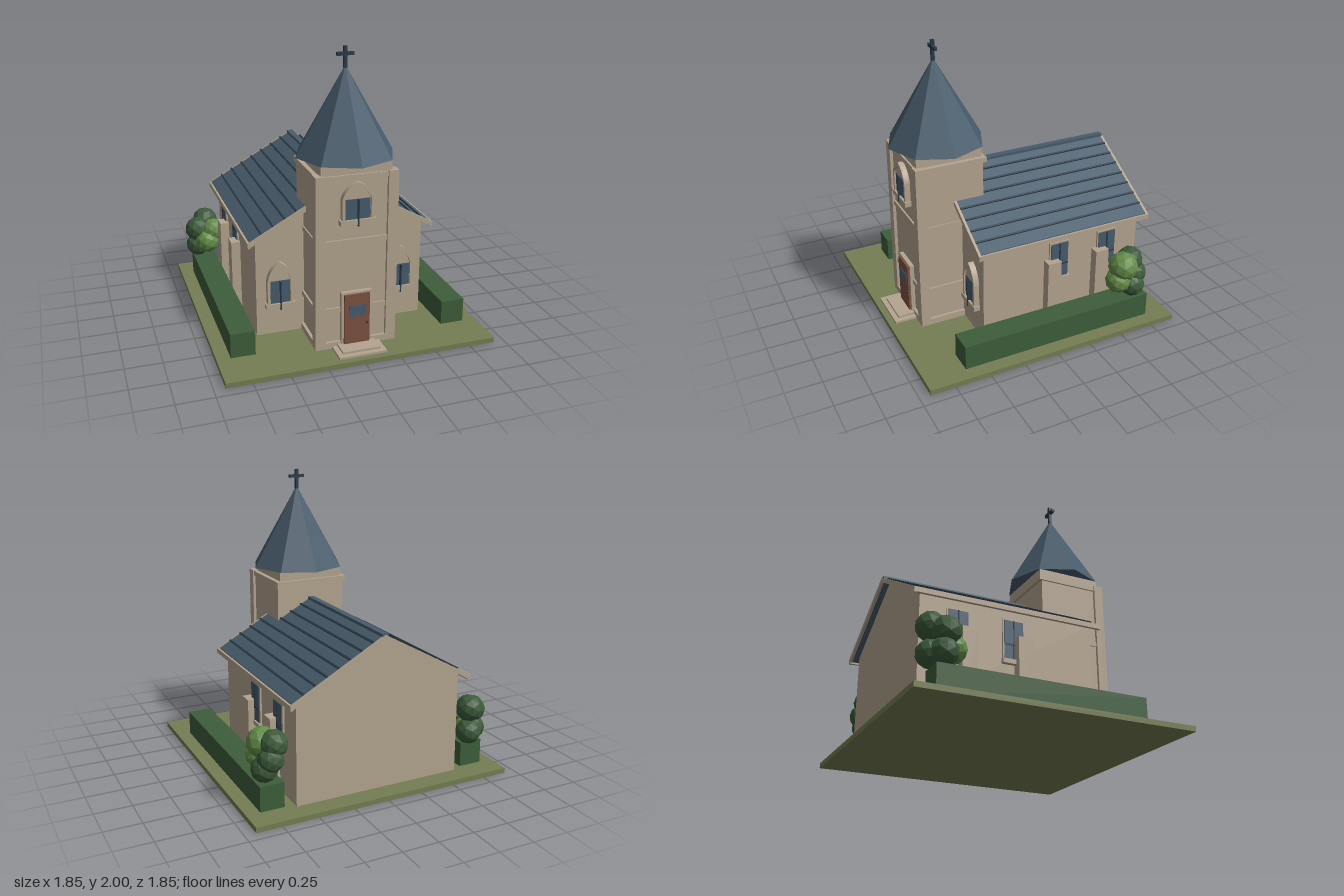
import * as THREE from 'three';

export function createModel() {
  const root = new THREE.Group();
  root.name = 'chapel';
  const mat = (name, color, flat = true) => {
    const m = new THREE.MeshStandardMaterial({ color });
    m.name = name;
    m.flatShading = flat;
    return m;
  };
  const stone = mat('stone', 0xb3a48f), slate = mat('slate', 0x485c6c), seamMat = mat('dark slate', 0x2b3b49);
  const glass = mat('glass', 0x465b6e), wood = mat('door wood', 0x7d5240), grass = mat('grass', 0x747d52);
  const hedgeMat = mat('hedge green', 0x3e5e3b), leafDark = mat('dark leaves', 0x3c5a3a), leafLight = mat('light leaves', 0x648c48);

  const add = (parent, name, geo, material) => {
    const m = new THREE.Mesh(geo, material);
    m.name = name;
    parent.add(m);
    return m;
  };
  // Box given by its minimum and maximum on each axis
  const box = (name, material, x0, x1, y0, y1, z0, z1, parent = root) => {
    const m = add(parent, name, new THREE.BoxGeometry(x1 - x0, y1 - y0, z1 - z0), material);
    m.position.set((x0 + x1) / 2, (y0 + y1) / 2, (z0 + z1) / 2);
    return m;
  };
  const extrude = (name, material, shape, z0, z1, parent = root) => {
    const geo = new THREE.ExtrudeGeometry(shape, { depth: z1 - z0, bevelEnabled: false, curveSegments: 8 });
    const m = add(parent, name, geo, material);
    m.position.z = z0;
    return m;
  };
  const poly = (pts) => new THREE.Shape(pts.map(([x, y]) => new THREE.Vector2(x, y)));

  box('lawn', grass, -0.925, 0.925, 0, 0.035, -0.925, 0.925);

  // Nave walls with gables
  extrude('naveWalls', stone, poly([[-0.595, 0.035], [0.595, 0.035], [0.595, 0.735], [0, 1.07], [-0.595, 0.735]]), -0.79, 0.4);

  // Roof, bargeboards, eaves and seams
  const chevron = (w, eave, ridge, t) => poly([[-w, eave - t], [0, ridge - t], [w, eave - t], [w, eave], [0, ridge], [-w, eave]]);
  extrude('roof', slate, chevron(0.64, 0.742, 1.095, 0.03), -0.83, 0.437);
  extrude('frontBargeboard', stone, chevron(0.655, 0.735, 1.097, 0.035), 0.437, 0.455);
  extrude('backBargeboard', stone, chevron(0.655, 0.735, 1.097, 0.035), -0.848, -0.83);
  const slope = Math.atan2(1.095 - 0.742, 0.64);
  for (const s of [-1, 1]) {
    box('eaveBoard', stone, s * 0.645 - 0.01, s * 0.645 + 0.01, 0.703, 0.737, -0.845, 0.45);
    for (let i = 1; i <= 7; i++) {
      const x = i * 0.08;
      const seam = add(root, 'roofSeam', new THREE.BoxGeometry(0.013, 0.014, 1.267), seamMat);
      seam.position.set(s * x, 1.097 - x * Math.tan(slope), -0.1965);
      seam.rotation.z = -s * slope;
    }
  }
  box('ridgeCap', slate, -0.022, 0.022, 1.08, 1.103, -0.84, 0.25);

  // Tower body, corner piers, bands and neck
  box('towerBody', stone, -0.26, 0.26, 0.035, 1.235, 0.24, 0.705);
  box('towerNeck', stone, -0.24, 0.24, 1.235, 1.3, 0.24, 0.705);
  box('towerPlinth', stone, -0.28, 0.28, 0.035, 0.08, 0.4, 0.725);
  for (const s of [-1, 1]) {
    box('towerPier', stone, s * 0.245 - 0.035, s * 0.245 + 0.035, 0.08, 1.24, 0.66, 0.727);
    box('sideBand', stone, s * 0.265 - 0.008, s * 0.265 + 0.008, 0.29, 0.325, 0.4, 0.66);
    box('sideBand', stone, s * 0.263 - 0.005, s * 0.263 + 0.005, 0.765, 0.8, 0.4, 0.66);
  }
  for (const y of [0.29, 0.765]) box('frontBand', stone, -0.21, 0.21, y, y + 0.035, 0.7, 0.717);
  box('cornice', stone, -0.272, 0.272, 1.2, 1.235, 0.218, 0.718);

  // Eight-sided spire and cross
  const spire = add(root, 'spire', new THREE.ConeGeometry(0.335, 0.58, 8), slate);
  spire.position.set(0, 1.59, 0.47);
  box('crossPost', seamMat, -0.011, 0.011, 1.86, 2, 0.459, 0.481);
  box('crossArm', seamMat, -0.057, 0.057, 1.94, 1.962, 0.459, 0.481);

  // Pointed window: half width w, base at y = 0, spring line, apex
  const arch = (w, spring, apex) => {
    const s = new THREE.Shape();
    s.moveTo(-w, 0);
    s.lineTo(w, 0);
    s.lineTo(w, spring);
    s.quadraticCurveTo(w * 0.85, apex - 0.04, 0, apex);
    s.quadraticCurveTo(-w * 0.85, apex - 0.04, -w, spring);
    return s;
  };
  const archWindow = (name, x, y, z, w, gw, gh, apex) => {
    const g = new THREE.Group();
    g.name = name;
    g.position.set(x, y, z);
    root.add(g);
    const frame = arch(w, gh, apex);
    const hole = new THREE.Path();
    hole.setFromPoints(arch(w - 0.02, gh, apex - 0.028).getPoints(8));
    frame.holes.push(hole);
    extrude('archFrame', stone, frame, 0, 0.04, g);
    extrude('archInfill', stone, arch(w - 0.015, gh, apex - 0.02), 0, 0.024, g);
    box('windowGlass', glass, -gw, gw, 0, gh, 0.022, 0.03, g);
    box('mullion', seamMat, -0.004, 0.004, -0.045, gh, 0.028, 0.05, g);
    box('sill', stone, -w - 0.012, w + 0.012, -0.035, 0, 0, 0.046, g);
    // Small stones following the arch
    for (let i = -3; i <= 3; i++) {
      const a = i * 0.33;
      const b = add(g, 'archStone', new THREE.BoxGeometry(0.013, 0.02, 0.01), stone);
      b.position.set(Math.sin(a) * (w - 0.022), gh + (apex - gh - 0.022) * Math.cos(a), 0.034);
      b.rotation.z = -a;
    }
  };
  archWindow('towerWindow', 0, 0.942, 0.705, 0.108, 0.083, 0.135, 0.25);
  for (const s of [-1, 1]) archWindow('frontWindow', s * 0.435, 0.272, 0.4, 0.09, 0.067, 0.162, 0.298);

  // Door with frame, small panes and knob
  box('doorFrame', stone, -0.105, 0.105, 0.065, 0.432, 0.7, 0.735);
  box('door', wood, -0.088, 0.088, 0.065, 0.42, 0.7, 0.748);
  for (const s of [-1, 1]) box('doorPane', glass, s * 0.031 - 0.027, s * 0.031 + 0.027, 0.263, 0.342, 0.746, 0.753);
  const knob = add(root, 'doorKnob', new THREE.SphereGeometry(0.009, 8, 6), seamMat);
  knob.position.set(0.07, 0.21, 0.754);
  box('lowerStep', stone, -0.165, 0.165, 0.035, 0.05, 0.7, 0.88);
  box('upperStep', stone, -0.13, 0.13, 0.05, 0.065, 0.7, 0.845);

  // Side windows, buttresses and hedges
  for (const s of [-1, 1]) {
    const side = (name, material, x0, x1, y0, y1, z0, z1) =>
      box(name, material, Math.min(s * x0, s * x1), Math.max(s * x0, s * x1), y0, y1, z0, z1);
    for (const z of [-0.165, -0.54]) {
      side('sideWindowFrame', stone, 0.59, 0.607, 0.385, 0.665, z - 0.075, z + 0.075);
      side('sideWindowGlass', glass, 0.605, 0.613, 0.395, 0.655, z - 0.065, z + 0.065);
      side('sideMullion', seamMat, 0.607, 0.618, 0.395, 0.655, z - 0.005, z + 0.005);
      side('sideTransom', seamMat, 0.607, 0.617, 0.49, 0.5, z - 0.065, z + 0.065);
      side('sideSill', stone, 0.59, 0.625, 0.365, 0.395, z - 0.08, z + 0.08);
      side('buttress', stone, 0.59, 0.66, 0.035, 0.54, z + 0.01, z + 0.11);
      side('buttressBase', stone, 0.59, 0.664, 0.035, 0.14, z + 0.005, z + 0.115);
    }
    side('hedge', hedgeMat, 0.664, 0.83, 0.035, 0.205, -0.76, 0.64);
  }

  // Leafy clumps: x, y, z, radius, light or dark
  const tree = (name, balls) => {
    const g = new THREE.Group();
    g.name = name;
    root.add(g);
    for (const [x, y, z, r, light] of balls) {
      const m = add(g, 'foliage', new THREE.IcosahedronGeometry(r, 1), light ? leafLight : leafDark);
      m.position.set(x, y, z);
      m.rotation.y = x * 9 + z * 5;
    }
  };
  tree('leftTree', [
    [0.745, 0.43, -0.6, 0.105, 1], [0.7, 0.44, -0.68, 0.095, 0], [0.75, 0.33, -0.56, 0.09, 1],
    [0.76, 0.28, -0.67, 0.09, 0], [0.73, 0.35, -0.7, 0.09, 0],
  ]);
  tree('rightTree', [
    [-0.72, 0.46, -0.76, 0.095, 0], [-0.79, 0.42, -0.69, 0.095, 0], [-0.73, 0.34, -0.63, 0.095, 1],
    [-0.79, 0.29, -0.7, 0.09, 0], [-0.72, 0.29, -0.76, 0.09, 0], [-0.68, 0.42, -0.64, 0.085, 1],
  ]);
  return root;
}
